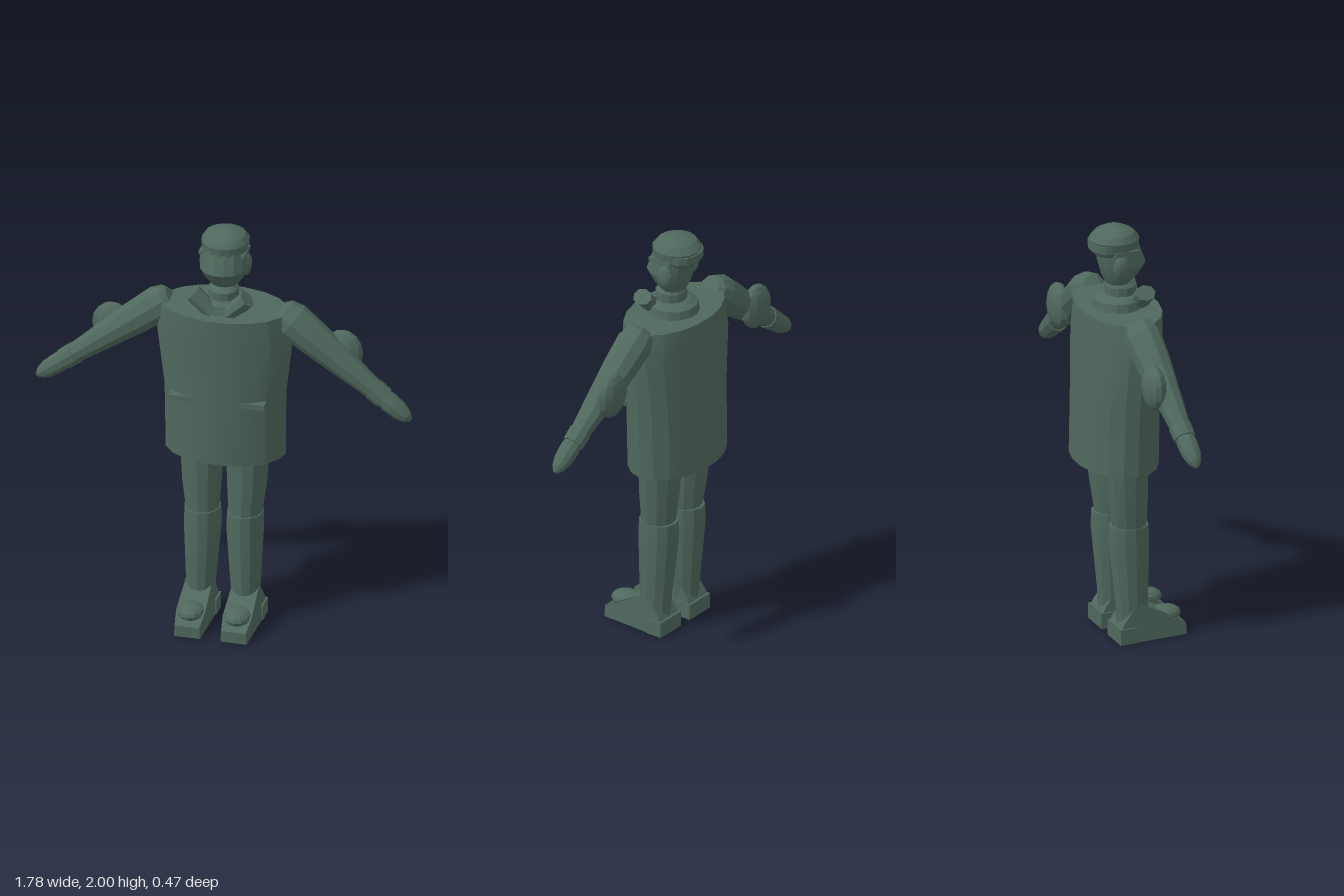
import * as THREE from 'three';
import { toCreasedNormals } from 'three/addons/utils/BufferGeometryUtils.js';

const green = new THREE.MeshStandardMaterial({ color: 0x4f685d });
green.name = 'dull green';

function mesh(name, geo, parent, pos = [0, 0, 0]) {
  const m = new THREE.Mesh(toCreasedNormals(geo, 0.32), green);
  m.name = name;
  m.position.set(...pos);
  parent.add(m);
  return m;
}

// Closed skin over elliptical rings [y, centreX, radiusX, centreZ, radiusZ], listed bottom to top
function loft(rings, n = 12) {
  const pos = [], idx = [];
  for (const [y, cx, rx, cz, rz] of rings) {
    for (let i = 0; i < n; i++) {
      const a = (i / n) * Math.PI * 2;
      pos.push(cx + rx * Math.cos(a), y, cz + rz * Math.sin(a));
    }
  }
  const top = rings.length - 1, bottomCentre = rings.length * n;
  for (const [y, cx, , cz] of [rings[0], rings[top]]) pos.push(cx, y, cz);
  for (let i = 0; i < n; i++) {
    const j = (i + 1) % n;
    for (let r = 0; r < top; r++) {
      const a = r * n + i, b = r * n + j;
      idx.push(a, a + n, b, b, a + n, b + n);
    }
    idx.push(bottomCentre, i, j, bottomCentre + 1, top * n + j, top * n + i);
  }
  const g = new THREE.BufferGeometry();
  g.setAttribute('position', new THREE.Float32BufferAttribute(pos, 3));
  g.setIndex(idx);
  return g;
}

// Ring from half width and front and back z
const ring = (y, hw, front, back) => [y, 0, hw, (front + back) / 2, (front - back) / 2];
// Round section for parts turned about their own axis
const turned = (pts, n) => loft(pts.map(([y, r]) => [y, 0, r, 0, r]), n);
const ball = (rx, ry, rz) => new THREE.SphereGeometry(1, 12, 8).scale(rx, ry, rz);

function buildHead(parent) {
  const head = new THREE.Group();
  head.name = 'head';
  mesh('face', loft([
    ring(1.725, 0.06, 0.025, -0.085), ring(1.765, 0.09, 0.06, -0.105),
    ring(1.82, 0.11, 0.1, -0.12), ring(1.88, 0.106, 0.078, -0.13), ring(1.93, 0.102, 0.06, -0.13),
  ], 14), head);
  mesh('cap', loft([
    ring(1.9, 0.107, 0.066, -0.15), ring(1.945, 0.112, 0.07, -0.165),
    ring(1.975, 0.094, 0.045, -0.135), ring(1.993, 0.06, 0.01, -0.095), ring(2, 0.025, -0.02, -0.06),
  ], 16), head);
  // Turned-down rear edge of the cap
  mesh('capPeak', loft([
    [1.88, 0, 0.085, -0.1, 0.05], [1.9, 0, 0.1, -0.095, 0.073], [1.935, 0, 0.1, -0.095, 0.073],
  ], 14), head);
  for (const s of [1, -1]) {
    mesh('earPad', ball(0.024, 0.056, 0.044), head, [s * 0.098, 1.825, -0.05]);
    mesh('strap', new THREE.BoxGeometry(0.016, 0.016, 0.12), head, [s * 0.1, 1.897, -0.025]);
  }
  parent.add(head);
}

function buildArm(s, parent) {
  const arm = new THREE.Group();
  arm.name = s > 0 ? 'leftArm' : 'rightArm';
  arm.position.set(s * 0.335, 1.55, -0.04);
  const dir = new THREE.Vector3(s * 0.794, -0.608, 0.035).normalize();
  arm.quaternion.setFromUnitVectors(new THREE.Vector3(0, 1, 0), dir);
  mesh('sleeve', turned([[-0.1, 0.045], [-0.08, 0.07], [-0.02, 0.088], [0.12, 0.081],
    [0.26, 0.068], [0.52, 0.044]], 10), arm);
  mesh('cuff', turned([[0.465, 0.054], [0.53, 0.052]], 10), arm);
  mesh('hand', turned([[0.51, 0.04], [0.56, 0.048], [0.62, 0.044], [0.665, 0.03], [0.69, 0.01]], 10), arm);
  parent.add(arm);
  mesh('elbowPad', ball(0.095, 0.108, 0.05), parent, [s * 0.545, 1.41, -0.085]);
}

function buildLeg(s, parent) {
  const leg = new THREE.Group();
  leg.name = s > 0 ? 'leftLeg' : 'rightLeg';
  mesh('thigh', loft([
    [0.54, s * 0.1, 0.078, -0.015, 0.08], [0.7, s * 0.106, 0.094, -0.025, 0.093],
    [0.95, s * 0.11, 0.108, -0.037, 0.105],
  ], 12), leg);
  mesh('shin', loft([
    [0.08, s * 0.106, 0.066, -0.005, 0.075], [0.16, s * 0.106, 0.069, -0.005, 0.076],
    [0.48, s * 0.1, 0.089, -0.018, 0.097], [0.56, s * 0.101, 0.085, -0.018, 0.093],
  ], 12), leg);

  // Wedge shoe with its nose narrowed
  const side = new THREE.Shape([[-0.085, 0], [0.24, 0], [0.24, 0.055], [0.17, 0.1], [0, 0.19], [-0.07, 0.1], [-0.085, 0.07]]
    .map(([z, y]) => new THREE.Vector2(-z, y)));
  const shoe = new THREE.ExtrudeGeometry(side, { depth: 0.15, bevelEnabled: false });
  shoe.translate(0, 0, -0.075).rotateY(Math.PI / 2);
  const p = shoe.attributes.position;
  for (let i = 0; i < p.count; i++) {
    const nose = p.getZ(i) > 0.2 ? 0.82 : 1;
    p.setX(i, p.getX(i) * nose * (1 - 0.9 * p.getY(i)));
  }
  mesh('shoe', shoe, leg, [s * 0.11, 0, 0]);
  mesh('heel', new THREE.BoxGeometry(0.154, 0.075, 0.085), leg, [s * 0.11, 0.0375, -0.052]);
  mesh('toeCap', ball(0.064, 0.038, 0.08), leg, [s * 0.11, 0.097, 0.155]);
  parent.add(leg);
}

export function createModel() {
  const model = new THREE.Group();
  model.name = 'figure';

  mesh('coat', loft([
    ring(0.86, 0.284, 0.14, -0.237), ring(1.19, 0.288, 0.144, -0.23),
    ring(1.47, 0.322, 0.15, -0.22), ring(1.61, 0.298, 0.154, -0.212),
  ], 18), model);

  // Neck and collar
  mesh('collarBase', loft([ring(1.6, 0.125, 0.09, -0.148), ring(1.65, 0.115, 0.08, -0.14),
    ring(1.67, 0.08, 0.06, -0.1)], 14), model);
  mesh('neckBand', loft([ring(1.64, 0.072, 0.06, -0.088), ring(1.71, 0.072, 0.06, -0.088),
    ring(1.73, 0.055, 0.03, -0.08)], 12), model);

  for (const s of [1, -1]) {
    const flap = mesh('collarFlap', new THREE.CylinderGeometry(0.04, 0.036, 0.125, 8).scale(1, 1, 1.25),
      model, [s * 0.083, 1.655, 0.055]);
    flap.rotation.z = -s * 0.8;
    mesh('pocketFlap', new THREE.BoxGeometry(0.135, 0.025, 0.05), model, [s * 0.158, 1.178, 0.102]);
    buildArm(s, model);
    buildLeg(s, model);
  }
  buildHead(model);
  return model;
}
